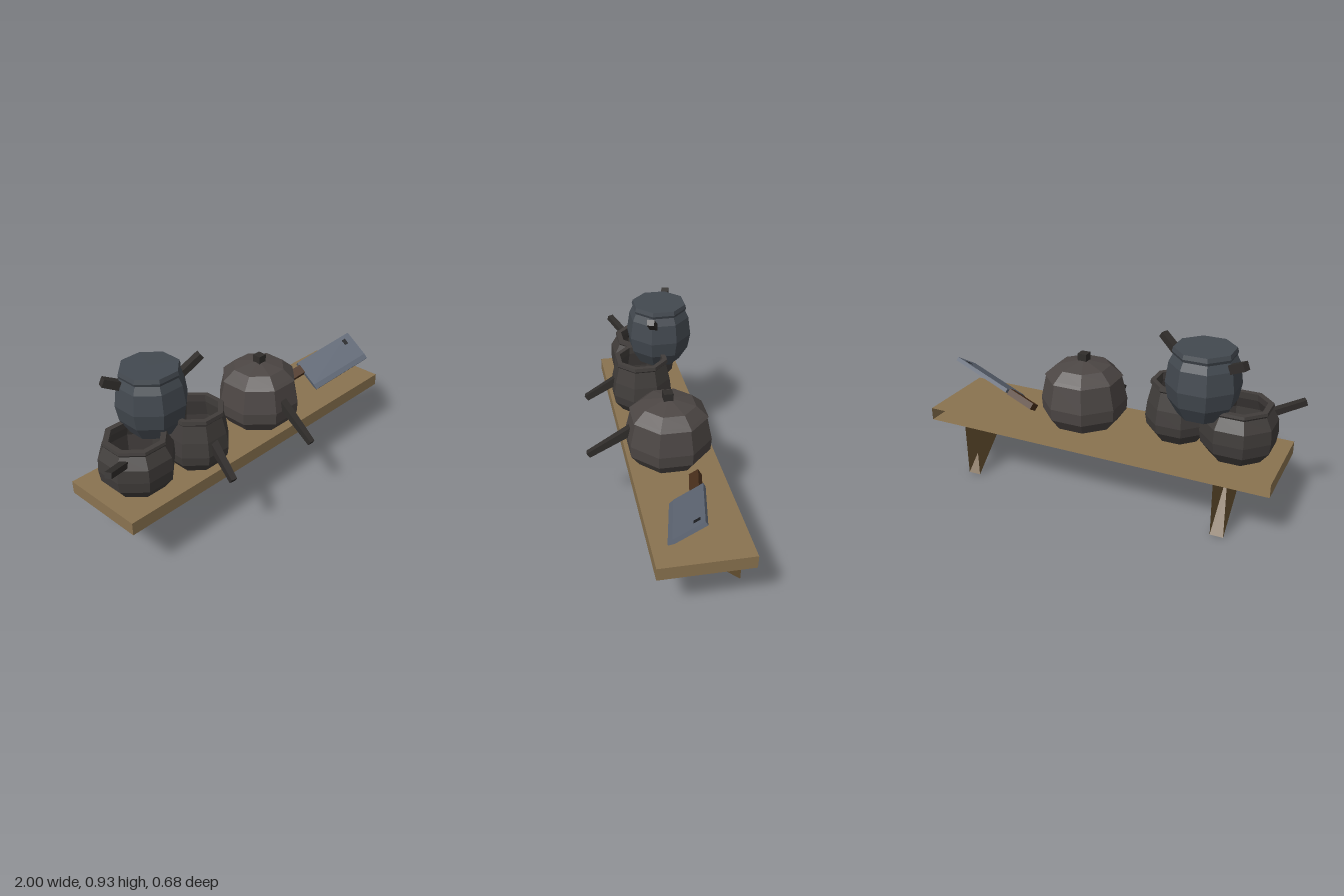
import * as THREE from 'three';

const mat = (color, side = THREE.FrontSide) =>
  new THREE.MeshStandardMaterial({ color, flatShading: true, side });

const WOOD = mat(0x8a7350, THREE.DoubleSide);
const BRACKET = mat(0x6b5433, THREE.DoubleSide);
const IRON = mat(0x413d3b);
const LID_IRON = mat(0x4c4644);
const BLUE_IRON = mat(0x434950);
const GRIP = mat(0x302d2b);
const STEEL = mat(0x5e6674);
const DARK_WOOD = mat(0x4a301c);
const DARK = mat(0x1c1d20);

export function createModel() {
  const model = new THREE.Group();

  const add = (parent, name, geometry, material, x = 0, y = 0, z = 0) => {
    const mesh = new THREE.Mesh(geometry, material);
    mesh.name = name;
    mesh.position.set(x, y, z);
    parent.add(mesh);
    return mesh;
  };

  // Eight-sided turned body; radii are measured to the flats, which face the axes
  const turned = (profile) => new THREE.LatheGeometry(
    profile.map(([r, y]) => new THREE.Vector2(r / Math.cos(Math.PI / 8), y)),
    8, Math.PI / 8);

  // Square bar from base to tip, slightly thinner at the tip
  const bar = (name, base, tip, width, height, taper = 0.8) => {
    const a = new THREE.Vector3(...base), b = new THREE.Vector3(...tip);
    const g = new THREE.CylinderGeometry(taper * Math.SQRT1_2, Math.SQRT1_2, a.distanceTo(b), 4);
    g.rotateY(Math.PI / 4).rotateX(Math.PI / 2).scale(width, height, 1);
    const mid = a.clone().add(b).multiplyScalar(0.5);
    add(model, name, g, GRIP, mid.x, mid.y, mid.z).lookAt(b);
  };

  // Shelf board, open at the wall side
  const board = new THREE.BoxGeometry(1.94, 0.07, 0.47);
  board.setIndex([...board.index.array].slice(0, 30));
  add(model, 'shelfBoard', board, WOOD, 0.03, 0.325, -0.105);

  // Triangular brackets, open at the wall side and under the board
  for (const [name, x] of [['rightBracket', -0.73], ['leftBracket', 0.71]]) {
    const w = 0.07;
    const front = [0, 0.29, 0], top = [0, 0.29, -0.34], foot = [0, 0, -0.34];
    const over = ([, y, z]) => [w, y, z];
    const g = new THREE.BufferGeometry();
    g.setAttribute('position', new THREE.Float32BufferAttribute([
      front, top, foot,
      over(front), over(foot), over(top),
      front, foot, over(foot),
      front, over(foot), over(front),
    ].flat(), 3));
    g.computeVertexNormals();
    add(model, name, g, BRACKET, x);
  }

  // Wide open pot
  add(model, 'widePot', turned([
    [0, 0.36], [0.13, 0.36], [0.174, 0.42], [0.182, 0.48], [0.178, 0.55],
    [0.147, 0.61], [0.153, 0.62], [0.15, 0.635], [0.122, 0.635],
    [0.125, 0.6], [0.15, 0.54], [0.15, 0.44], [0.11, 0.39], [0, 0.39],
  ]), IRON, -0.705, 0, -0.1);
  bar('widePotHandle', [-0.83, 0.57, -0.025], [-0.99, 0.63, 0.058], 0.038, 0.033, 0.9);

  // Slim open pot
  add(model, 'slimPot', turned([
    [0, 0.36], [0.115, 0.36], [0.158, 0.42], [0.165, 0.47], [0.155, 0.55],
    [0.134, 0.64], [0.143, 0.65], [0.14, 0.67], [0.115, 0.67],
    [0.115, 0.63], [0.135, 0.54], [0.135, 0.45], [0.1, 0.39], [0, 0.39],
  ]), IRON, -0.367, 0, -0.036);
  bar('slimPotHandle', [-0.382, 0.535, 0.09], [-0.42, 0.4, 0.28], 0.042, 0.045, 0.75);

  // Tall closed pot stacked on the other two, with a pair of grips
  add(model, 'tallPot', turned([
    [0, 0.57], [0.116, 0.575], [0.16, 0.655], [0.174, 0.74], [0.16, 0.845],
    [0.142, 0.885], [0.147, 0.9], [0.141, 0.922], [0, 0.922],
  ]), BLUE_IRON, -0.532, 0, -0.168);
  bar('tallPotLeftGrip', [-0.39, 0.835, -0.115], [-0.28, 0.92, -0.075], 0.042, 0.034, 0.95);
  bar('tallPotRightGrip', [-0.67, 0.85, -0.22], [-0.757, 0.893, -0.25], 0.042, 0.045, 0.95);

  // Round pot with lid and knob
  add(model, 'roundPot', turned([
    [0, 0.36], [0.165, 0.36], [0.21, 0.425], [0.214, 0.49], [0.187, 0.62], [0, 0.62],
  ]), LID_IRON, 0.16, 0, -0.09);
  add(model, 'roundPotLid', turned([
    [0, 0.615], [0.178, 0.615], [0.194, 0.622], [0.18, 0.636], [0.133, 0.68], [0, 0.712],
  ]), LID_IRON, 0.16, 0, -0.09);
  add(model, 'lidKnob', new THREE.BoxGeometry(0.05, 0.05, 0.05), GRIP, 0.16, 0.72, -0.085);
  bar('roundPotHandle', [0.143, 0.535, 0.09], [0.121, 0.38, 0.332], 0.044, 0.045, 0.7);

  // Cleaver: x runs along the blade, y towards the spine, z through its thickness
  const cleaver = new THREE.Group();
  cleaver.name = 'cleaver';
  const X = new THREE.Vector3(0.38, 0.095, 0.085).normalize();
  const Z = X.clone().cross(new THREE.Vector3(0, 0.105, -0.17)).normalize();
  const Y = Z.clone().cross(X);
  cleaver.quaternion.setFromRotationMatrix(new THREE.Matrix4().makeBasis(X, Y, Z));
  cleaver.position.set(0.784, 0.472, -0.053);
  model.add(cleaver);

  // Blade section with a bevelled cutting edge, extruded along x
  const section = new THREE.Shape([
    [-0.011, 0.1], [-0.011, -0.07], [-0.003, -0.1], [0.003, -0.1], [0.011, -0.07], [0.011, 0.1],
  ].map(([z, y]) => new THREE.Vector2(z, y)));
  const blade = new THREE.ExtrudeGeometry(section, { depth: 0.4, bevelEnabled: false });
  blade.translate(0, 0, -0.2).rotateY(Math.PI / 2);
  add(cleaver, 'blade', blade, STEEL);
  add(cleaver, 'bladeHole', new THREE.BoxGeometry(0.025, 0.036, 0.024), DARK, 0.145, 0.058, 0);
  add(cleaver, 'cleaverHandle', new THREE.BoxGeometry(0.18, 0.055, 0.036), DARK_WOOD, -0.288, 0.052, 0);

  return model;
}
